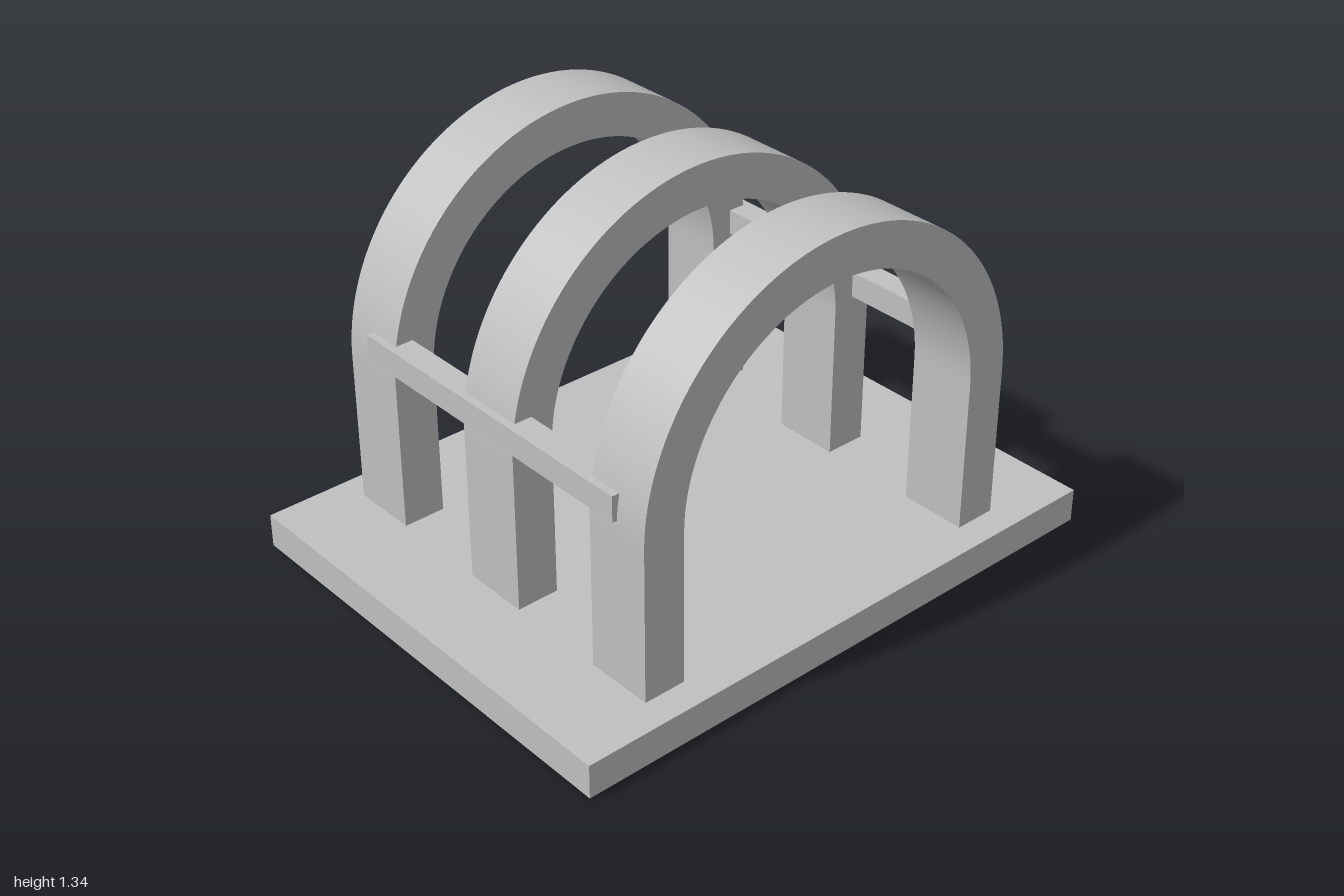
import * as THREE from 'three';
import { toCreasedNormals } from 'three/addons/utils/BufferGeometryUtils.js';

const U = 1 / 7; // base module
const BASE_H = 0.8 * U;
const SPRING_Y = 4.4 * U; // height where the legs turn into the arch

// Straight legs joined by a semicircular band
function archGeometry(outer, inner, depth) {
  const s = new THREE.Shape();
  s.moveTo(outer, BASE_H);
  s.lineTo(outer, SPRING_Y);
  s.absarc(0, SPRING_Y, outer, 0, Math.PI, false);
  s.lineTo(-outer, BASE_H);
  s.lineTo(-inner, BASE_H);
  s.lineTo(-inner, SPRING_Y);
  s.absarc(0, SPRING_Y, inner, Math.PI, 0, true);
  s.lineTo(inner, BASE_H);
  s.closePath();
  const g = new THREE.ExtrudeGeometry(s, { depth, bevelEnabled: false, curveSegments: 64 });
  g.translate(0, 0, -depth / 2);
  return toCreasedNormals(g, Math.PI / 6);
}

export function createModel() {
  const group = new THREE.Group();
  group.name = 'archedFrame';
  const gray = new THREE.MeshStandardMaterial({ color: 0xc0c0c0 });
  gray.name = 'light gray';

  const add = (name, geometry, x, y, z) => {
    const mesh = new THREE.Mesh(geometry, gray);
    mesh.name = name;
    mesh.position.set(x, y, z);
    group.add(mesh);
  };

  // Base slab
  add('base', new THREE.BoxGeometry(14 * U, BASE_H, 11 * U), 0, BASE_H / 2, 0);

  // Three arches in a row
  const arch = archGeometry(5 * U, 4 * U, 1.6 * U);
  [['frontArch', 4 * U], ['middleArch', 0], ['backArch', -4 * U]]
    .forEach(([name, z]) => add(name, arch, 0, 0, z));

  // Side rails tying the arches together
  const rail = new THREE.BoxGeometry(0.6 * U, 0.6 * U, 8 * U);
  [['leftRail', 1], ['rightRail', -1]]
    .forEach(([name, side]) => add(name, rail, side * 4.8 * U, 5 * U, 0));

  return group;
}
